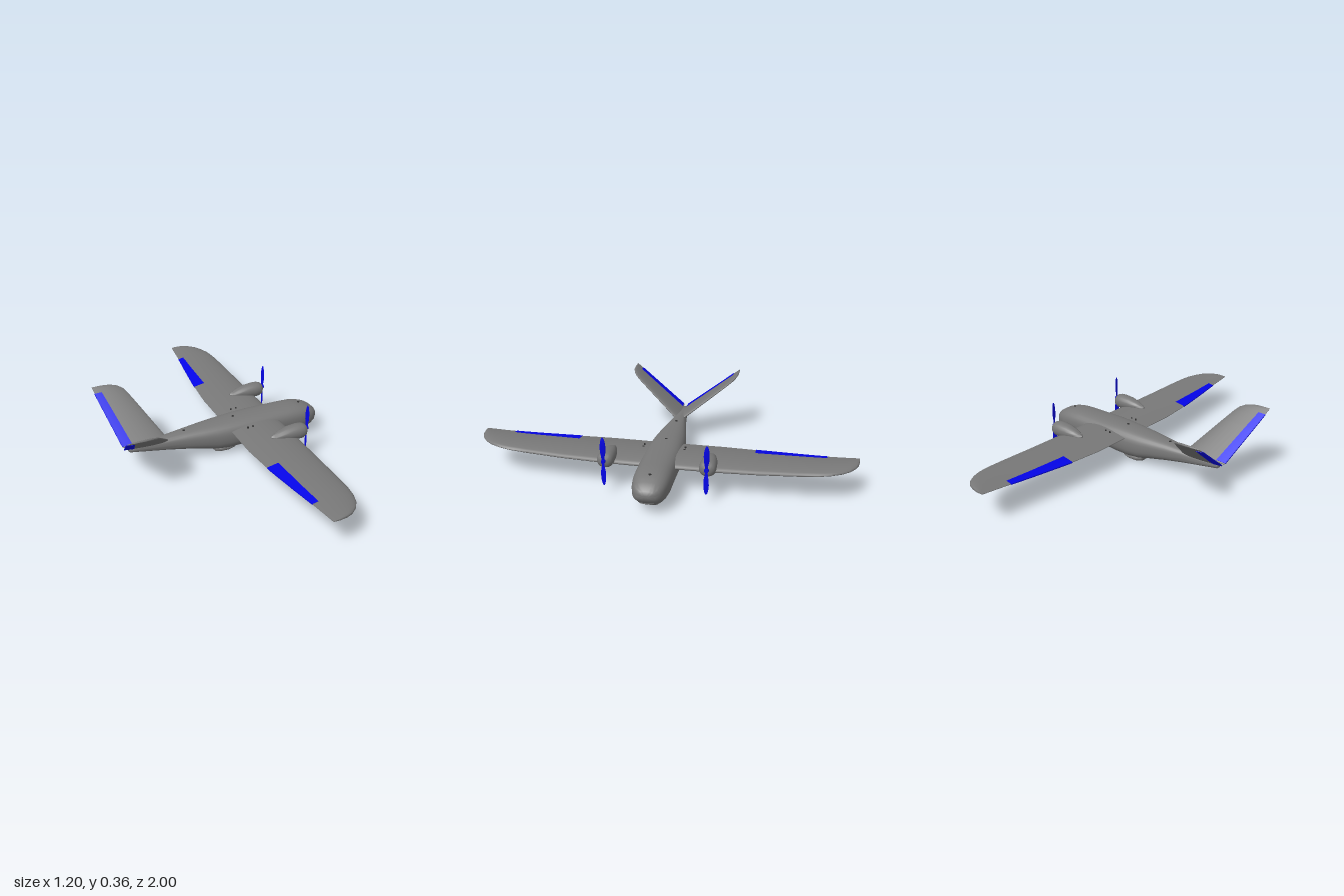
import * as THREE from 'three';
import { toCreasedNormals } from 'three/addons/utils/BufferGeometryUtils.js';

const grey = new THREE.MeshStandardMaterial({ name: 'airframe grey', color: 0x787878 });
const blue = new THREE.MeshStandardMaterial({ name: 'control blue', color: 0x0505f5 });
const dark = new THREE.MeshStandardMaterial({ name: 'fastener dark', color: 0x333333 });

// Closed skin over equal-length rings of [x, y, z]; turned outward by its signed volume
function loft(rings, crease = 0.9) {
  const n = rings[0].length;
  const pos = rings.flat(2);
  const idx = [];
  for (let i = 0; i < rings.length - 1; i++) {
    for (let j = 0; j < n; j++) {
      const a = i * n + j, b = i * n + (j + 1) % n;
      idx.push(a, b, b + n, a, b + n, a + n);
    }
  }
  [0, rings.length - 1].forEach((r, end) => {
    const c = pos.length / 3;
    for (let k = 0; k < 3; k++) pos.push(rings[r].reduce((s, p) => s + p[k], 0) / n);
    for (let j = 0; j < n; j++) {
      const a = r * n + j, b = r * n + (j + 1) % n;
      if (end) idx.push(a, b, c); else idx.push(b, a, c);
    }
  });
  const v = (i) => new THREE.Vector3(...pos.slice(i * 3, i * 3 + 3));
  let volume = 0;
  for (let i = 0; i < idx.length; i += 3) volume += v(idx[i]).dot(v(idx[i + 1]).cross(v(idx[i + 2])));
  if (volume < 0) idx.reverse();
  const g = new THREE.BufferGeometry();
  g.setAttribute('position', new THREE.Float32BufferAttribute(pos, 3));
  g.setIndex(idx);
  return toCreasedNormals(g, crease);
}

// Rounded body along x from rows of [x, bottom, top, half width]
function body(rows, zc = 0, power = 2.6, n = 32) {
  const round = (c) => Math.sign(c) * Math.abs(c) ** (2 / power);
  return loft(rows.map(([x, lo, hi, w]) => Array.from({ length: n }, (_, j) => {
    const a = j / n * Math.PI * 2;
    return [x, (lo + hi) / 2 + round(Math.sin(a)) * (hi - lo) / 2, zc + round(Math.cos(a)) * w];
  })));
}

// Row of a table at span s, linearly interpolated
function rowAt(table, s) {
  const i = Math.max(1, table.findIndex((r) => r[0] >= s));
  const a = table[i - 1], b = table[i], t = (s - a[0]) / (b[0] - a[0]);
  return a.map((q, k) => q + (b[k] - q) * t);
}

// Aerofoil panel; rows are [z, y, leading x, trailing x, thickness], u runs front to back
function panel(table, side, s0, s1, hinge, tilt, camber, extra) {
  const spans = [s0, ...table.map((r) => r[0]).filter((s) => s > s0 && s < s1), s1];
  const N = 12;
  return loft(spans.map((s) => {
    const [z, y, le, te, th] = rowAt(table, s);
    const u0 = hinge ? hinge[0] + (hinge[1] - hinge[0]) * (s - s0) / (s1 - s0) : 0;
    const point = (k, sign) => {
      const u = u0 + (1 - u0) * (hinge ? k / N : (1 - Math.cos(k / N * Math.PI)) / 2);
      const f = 5 * (0.2969 * Math.sqrt(u) - 0.126 * u - 0.3516 * u * u + 0.2843 * u ** 3 - 0.1015 * u ** 4);
      const h = sign * (f * th + extra + 0.001) + camber * (le - te) * 4 * u * (1 - u);
      return [le + (te - le) * u - (u > 0.99 ? extra : 0), y + h * Math.cos(tilt), side * (z - h * Math.sin(tilt))];
    };
    const ring = [];
    for (let k = N; k >= 0; k--) ring.push(point(k, 1));
    for (let k = 0; k <= N; k++) ring.push(point(k, -1));
    return ring;
  }), 0.7);
}

const WING = [
  [0, 0.142, 0.34, 0.045, 0.034], [0.3, 0.143, 0.338, 0.045, 0.032], [0.5, 0.147, 0.334, 0.06, 0.029],
  [0.7, 0.155, 0.327, 0.083, 0.026], [0.8, 0.16, 0.32, 0.095, 0.024], [0.86, 0.164, 0.308, 0.101, 0.022],
  [0.91, 0.167, 0.288, 0.105, 0.02], [0.95, 0.17, 0.26, 0.108, 0.018], [0.98, 0.172, 0.222, 0.11, 0.015],
  [0.993, 0.173, 0.19, 0.111, 0.011], [1, 0.174, 0.15, 0.112, 0.005],
];
const tailY = (z) => 0.135 + 0.735 * (z - 0.01);
const TAIL = [
  [0.01, -0.29, -0.535, 0.02], [0.2, -0.388, -0.577, 0.016], [0.26, -0.42, -0.59, 0.014],
  [0.285, -0.438, -0.595, 0.013], [0.302, -0.465, -0.598, 0.011], [0.312, -0.5, -0.6, 0.008],
  [0.315, -0.535, -0.6, 0.004],
].map(([z, le, te, th]) => [z, tailY(z), le, te, th]);

// Propeller blade: thin oval sections growing along y, slightly twisted
function blade(dir) {
  return loft([[0.008, 0.007], [0.03, 0.009], [0.05, 0.0135], [0.08, 0.0145], [0.105, 0.012], [0.122, 0.008], [0.131, 0.003]]
    .map(([r, w]) => Array.from({ length: 12 }, (_, j) => {
      const a = j / 12 * Math.PI * 2, c = Math.cos(a) * w, t = Math.sin(a) * 0.0022;
      const twist = 0.35 - r * 1.5;
      return [t * Math.cos(twist) + c * Math.sin(twist) * dir, dir * r, c * Math.cos(twist) - t * Math.sin(twist) * dir];
    })));
}

export function createModel() {
  const model = new THREE.Group();
  const add = (name, geometry, material, parent = model) => {
    const m = new THREE.Mesh(geometry, material);
    m.name = name;
    parent.add(m);
    return m;
  };

  // Fuselage, nose at +x
  add('fuselage', body([
    [-0.512, 0.116, 0.132, 0.008], [-0.505, 0.11, 0.137, 0.016], [-0.45, 0.102, 0.143, 0.022], [-0.3, 0.08, 0.157, 0.04],
    [-0.2, 0.064, 0.166, 0.057], [-0.1, 0.045, 0.174, 0.075], [-0.03, 0.028, 0.179, 0.086], [0.04, 0.022, 0.184, 0.093],
    [0.12, 0.027, 0.188, 0.098], [0.2, 0.036, 0.19, 0.1], [0.3, 0.038, 0.191, 0.098], [0.4, 0.034, 0.192, 0.096],
    [0.46, 0.033, 0.19, 0.095], [0.51, 0.038, 0.182, 0.089], [0.55, 0.052, 0.168, 0.078], [0.575, 0.067, 0.153, 0.064],
    [0.59, 0.083, 0.139, 0.046], [0.598, 0.099, 0.126, 0.025], [0.6, 0.108, 0.117, 0.01],
  ]), grey);

  // Belly fairing under the nose and the oval hatch behind it
  add('bellyFairing', body([
    [0.28, 0.036, 0.06, 0.03], [0.3, 0.021, 0.07, 0.05], [0.34, 0.014, 0.08, 0.062], [0.42, 0.014, 0.09, 0.066],
    [0.49, 0.023, 0.1, 0.066], [0.54, 0.04, 0.1, 0.056], [0.57, 0.06, 0.1, 0.04],
  ], 0, 3), grey);
  add('bellyHatch', body([
    [-0.032, 0.01, 0.03, 0.02], [-0.025, 0.004, 0.035, 0.037], [0, 0.0005, 0.04, 0.05],
    [0.05, 0.002, 0.04, 0.052], [0.09, 0.008, 0.04, 0.042], [0.107, 0.017, 0.04, 0.025],
  ], 0, 2.8), grey);

  for (const side of [1, -1]) {
    const label = side > 0 ? 'left' : 'right';
    const tilt = Math.atan(0.735);

    // Wing and V-tail with their moving surfaces
    add(label + 'Wing', panel(WING, side, 0, 1, null, 0, 0.03, 0), grey);
    add(label + 'Aileron', panel(WING, side, 0.475, 0.84, [0.775, 0.86], 0, 0.03, 0.0015), blue);
    add(label + 'TailFin', panel(TAIL, side, 0.01, 0.315, null, tilt, 0, 0), grey);
    add(label + 'Ruddervator', panel(TAIL, side, 0.015, 0.282, [0.785, 0.765], tilt, 0, 0.0015), blue);

    // Engine nacelle with cooling ribs underneath
    const z = side * 0.26;
    add(label + 'Nacelle', body([
      [0.192, 0.163, 0.174, 0.006], [0.21, 0.152, 0.183, 0.018], [0.24, 0.144, 0.195, 0.029], [0.29, 0.136, 0.209, 0.04],
      [0.34, 0.131, 0.214, 0.043], [0.37, 0.133, 0.213, 0.042], [0.388, 0.142, 0.207, 0.036], [0.398, 0.155, 0.197, 0.022],
    ], z, 2.2, 24), grey);
    for (let i = 0; i < 4; i++) {
      const rib = add(label + 'CoolingRib', new THREE.BoxGeometry(0.006, 0.012, 0.04), grey);
      rib.position.set(0.25 + i * 0.022, 0.139 - i * 0.002, z);
    }

    // Two-bladed propeller and hub
    const prop = new THREE.Group();
    prop.name = label + 'Propeller';
    prop.position.set(0.404, 0.18, z);
    model.add(prop);
    for (const dir of [1, -1]) add('blade', blade(dir), blue, prop);
    add('hub', new THREE.CylinderGeometry(0.01, 0.012, 0.014, 16), blue, prop).rotation.z = -Math.PI / 2;

    // Wing bolts and tail control horn
    for (const x of [0.13, 0.16]) {
      add('wingBolt', new THREE.CylinderGeometry(0.005, 0.005, 0.012, 10), dark).position.set(x, 0.162, side * 0.11);
    }
    add('controlHorn', new THREE.BoxGeometry(0.014, 0.012, 0.006), dark).position.set(-0.39, 0.152, side * 0.036);
  }

  // Screws along the spine
  for (const [x, y] of [[-0.2, 0.166], [0.09, 0.186], [0.5, 0.184]]) {
    add('spineScrew', new THREE.CylinderGeometry(0.007, 0.007, 0.005, 12), dark).position.set(x, y, 0);
  }
  return model;
}
